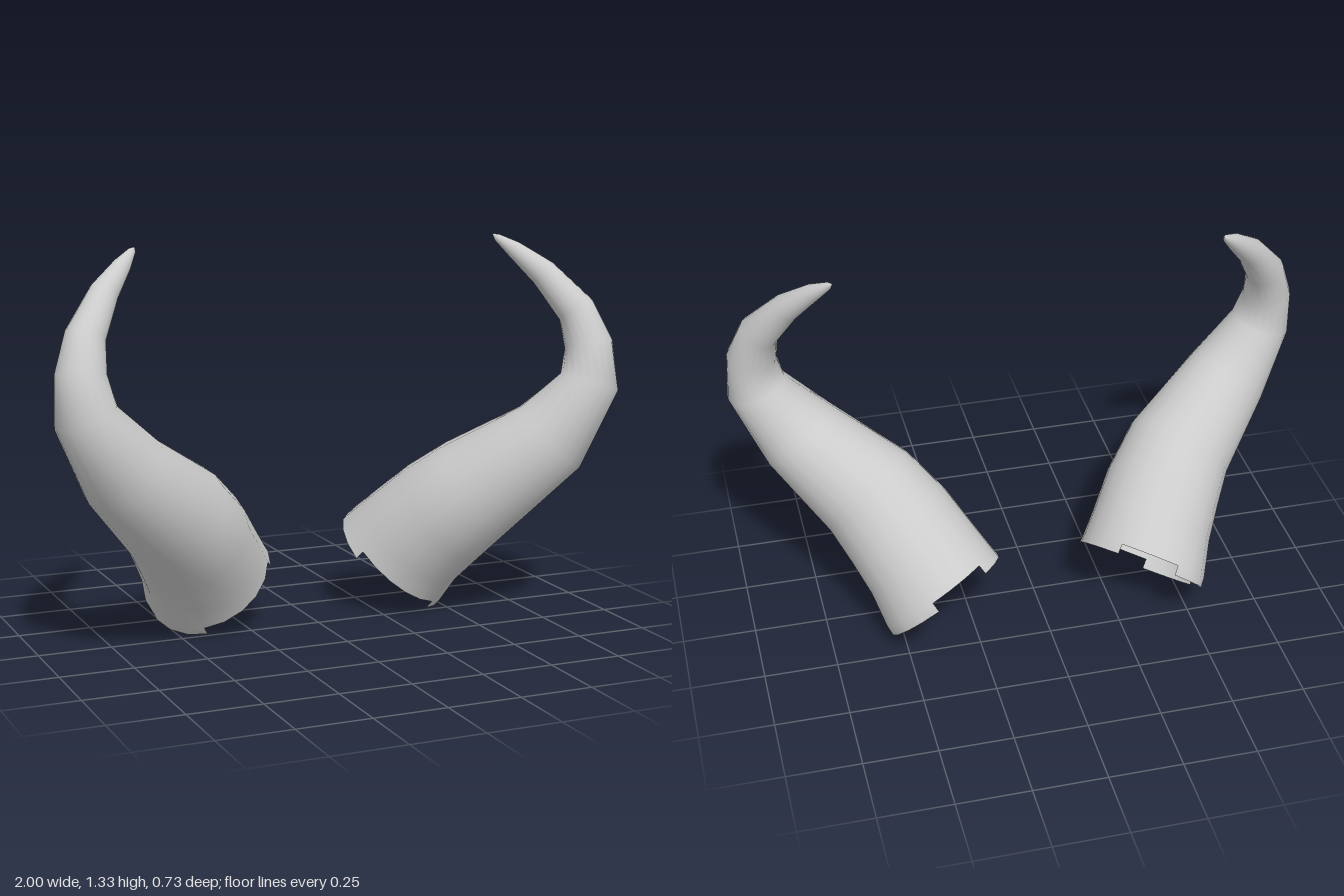
import * as THREE from 'three';

// Horn cross-sections from base to tip: centre x, y, z and radius
const RINGS = [
  [0.35, 0.155, -0.155, 0.228],
  [0.367, 0.18, -0.138, 0.226],
  [0.41, 0.26, -0.075, 0.212],
  [0.475, 0.355, 0.01, 0.205],
  [0.56, 0.455, 0.1, 0.19],
  [0.77, 0.64, 0.235, 0.148],
  [0.9, 0.83, 0.275, 0.104],
  [0.907, 0.96, 0.25, 0.083],
  [0.878, 1.075, 0.21, 0.066],
  [0.79, 1.2, 0.13, 0.048],
  [0.71, 1.277, 0.068, 0.03],
  [0.663, 1.318, 0.026, 0.013],
  [0.65, 1.33, 0.015, 0],
];
const SIDES = 20;
// Cells missing from the ragged rim
const CHIPPED = [2, 3, 4, 9, 10, 11, 12, 13, 17];

function hornGeometry(side) {
  const centres = RINGS.map(([x, y, z]) => new THREE.Vector3(side * x, y, z));
  const reference = new THREE.Vector3(side, 0, -1);
  const positions = [];
  const indices = [];

  centres.forEach((c, i) => {
    // Each ring stands square to the bend of the horn
    const before = centres[Math.max(i - 1, 0)];
    const after = centres[Math.min(i + 1, centres.length - 1)];
    const t = i < 2
      ? new THREE.Vector3(side * 0.48, 0.72, 0.48).normalize()
      : c.clone().sub(before).normalize()
        .add(after.clone().sub(c).normalize()).normalize();
    const u = reference.clone().addScaledVector(t, -t.dot(reference)).normalize();
    const v = t.clone().cross(u);
    for (let j = 0; j < SIDES; j++) {
      const a = (j / SIDES) * Math.PI * 2;
      const p = c.clone()
        .addScaledVector(u, RINGS[i][3] * Math.cos(a))
        .addScaledVector(v, RINGS[i][3] * Math.sin(a));
      positions.push(p.x, p.y, p.z);
    }
  });

  for (let i = 0; i < RINGS.length - 1; i++) {
    for (let j = 0; j < SIDES; j++) {
      const cell = side > 0 ? j : SIDES - 1 - j;
      if (i === 0 && CHIPPED.includes(cell)) continue;
      const k = (j + 1) % SIDES;
      const a = i * SIDES + j, b = i * SIDES + k;
      const c = b + SIDES, d = a + SIDES;
      indices.push(a, b, d);
      if (i < RINGS.length - 2) indices.push(b, c, d);
    }
  }

  const geometry = new THREE.BufferGeometry();
  geometry.setAttribute('position', new THREE.Float32BufferAttribute(positions, 3));
  geometry.setIndex(indices);
  geometry.computeVertexNormals();
  return geometry;
}

export function createModel() {
  const group = new THREE.Group();
  group.name = 'hornPair';
  // Hollow at the base, so the inside shows too
  const material = new THREE.MeshStandardMaterial({ color: 0xcccccc, side: THREE.DoubleSide });
  for (const side of [1, -1]) {
    const horn = new THREE.Mesh(hornGeometry(side), material);
    horn.name = side > 0 ? 'leftHorn' : 'rightHorn';
    group.add(horn);
  }
  return group;
}
